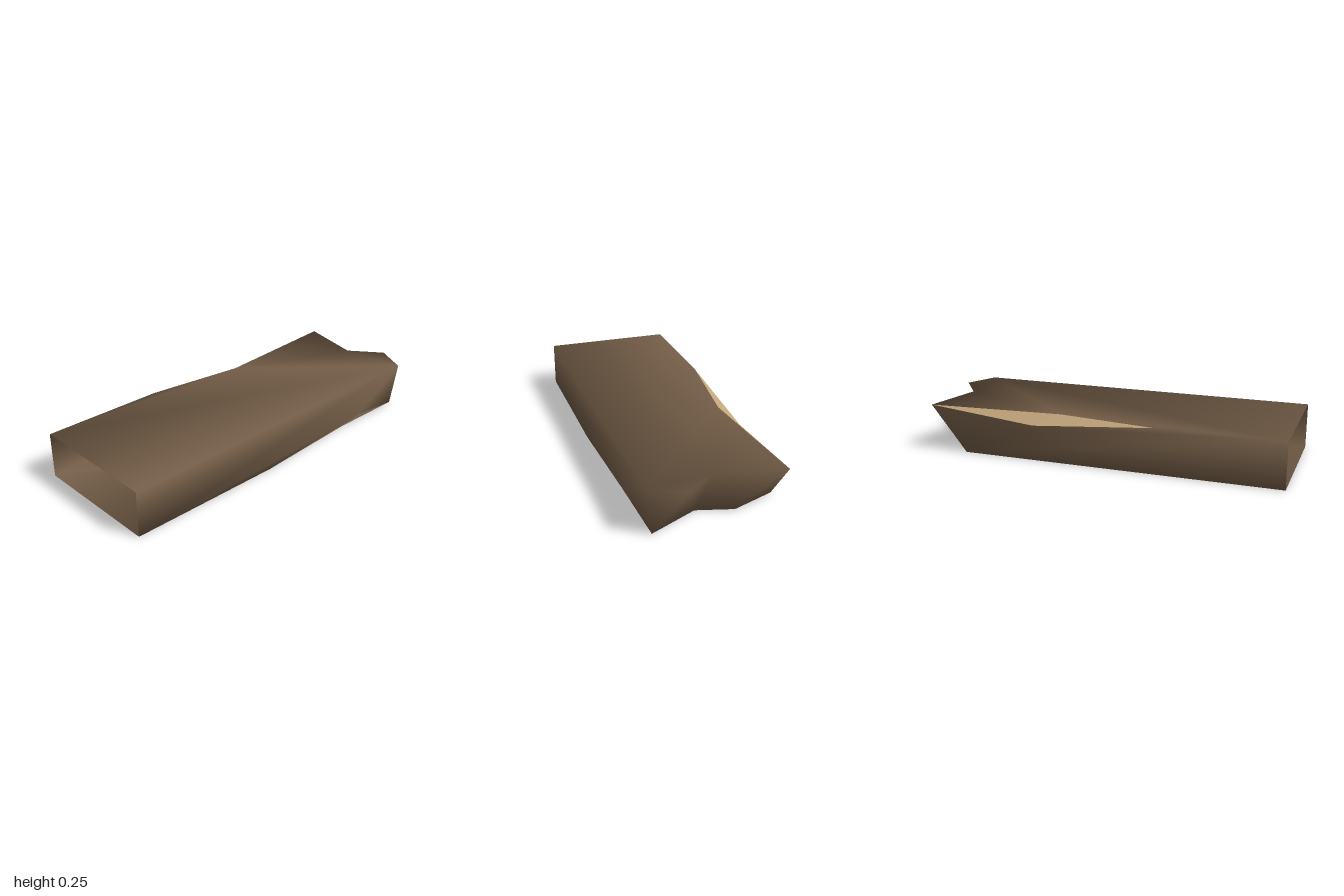
import * as THREE from 'three';

const H = 0.245, W = 0.357;

// Corner points of the broken beam
const P = {
  // square, open end
  topBack: [-1, H, -W], topFront: [-1, H, W], lowBack: [-1, 0, -W], lowFront: [-1, 0, W],
  // chip on the upper back edge
  chipA: [-0.34, H, -W], chipAIn: [0.2, H, -0.285], chipAOut: [0.33, 0.19, -W],
  // chip on the lower front edge
  chipB: [-0.15, 0, W], chipBIn: [0.47, 0, 0.315], chipBOut: [0.56, 0.06, W],
  // jagged broken end, upper and lower rows from back to front
  t0: [0.94, H, -0.343], t1: [0.865, H, 0], t2: [1, H, 0.17], t3: [0.915, H, 0.345],
  b0: [0.73, 0, -W], b1: [0.82, 0, -0.13], b2: [0.77, 0, 0.06], b3: [0.9, 0, 0.315],
};

// Builds polygons (point names, outward axis) into one geometry; smooth joins shared corners
function polygons(list, smooth) {
  const names = [], pos = [], nor = [], index = [];
  const vertex = (name) => {
    let i = smooth ? names.indexOf(name) : -1;
    if (i < 0) {
      i = names.push(name) - 1;
      pos.push(...P[name]);
      nor.push(new THREE.Vector3());
    }
    return i;
  };
  for (const [text, out] of list) {
    const keys = text.split(' ');
    const pts = keys.map((k) => new THREE.Vector3(...P[k]));
    // polygon normal, turned outward
    const n = new THREE.Vector3();
    pts.forEach((p, i) => n.add(p.clone().cross(pts[(i + 1) % pts.length])));
    n.normalize();
    if (n.dot(new THREE.Vector3(...out)) < 0) n.negate();
    const ids = keys.map(vertex);
    ids.forEach((i) => nor[i].add(n));
    // triangulate in the plane the polygon faces most
    const a = [Math.abs(n.x), Math.abs(n.y), Math.abs(n.z)];
    const m = a.indexOf(Math.max(...a));
    const [u, v] = [['y', 'z'], ['x', 'z'], ['x', 'y']][m];
    const flat = pts.map((p) => new THREE.Vector2(p[u], p[v]));
    const tris = pts.length === 3 ? [[0, 1, 2]] : THREE.ShapeUtils.triangulateShape(flat, []);
    for (const [i, j, k] of tris) {
      const c = pts[j].clone().sub(pts[i]).cross(pts[k].clone().sub(pts[i]));
      index.push(...(c.dot(n) > 0 ? [i, j, k] : [i, k, j]).map((q) => ids[q]));
    }
  }
  const g = new THREE.BufferGeometry();
  g.setAttribute('position', new THREE.Float32BufferAttribute(pos, 3));
  g.setAttribute('normal', new THREE.Float32BufferAttribute(nor.flatMap((n) => n.normalize().toArray()), 3));
  g.setIndex(index);
  return g;
}

export function createModel() {
  const group = new THREE.Group();
  group.name = 'brokenBeam';
  const darkWood = new THREE.MeshStandardMaterial({ color: 0x735d47, side: THREE.DoubleSide });
  darkWood.name = 'dark wood';
  const rawWood = new THREE.MeshStandardMaterial({ color: 0xc4a77d, side: THREE.DoubleSide });
  rawWood.name = 'raw wood';

  const add = (name, list, material, smooth) => {
    const mesh = new THREE.Mesh(polygons(list, smooth), material);
    mesh.name = name;
    group.add(mesh);
  };

  const up = [0, 1, 0], down = [0, -1, 0], front = [0, 0, 1], back = [0, 0, -1], end = [1, 0, 0];

  // Four long sides and the splintered end
  add('beam', [
    ['topBack chipA chipAIn t0 t1 t2 t3 topFront', up],
    ['lowBack b0 b1 b2 b3 chipBIn chipB lowFront', down],
    ['lowFront chipB chipBOut b3 t3 topFront', front],
    ['lowBack topBack chipA chipAOut t0 b0', back],
    ['t0 b0 b1', end], ['t0 b1 t1', end],
    ['t1 b1 b2', end], ['t1 b2 t2', end],
    ['t2 b2 b3', end], ['t2 b3 t3', end],
  ], darkWood, true);

  // Bare wood where the edges have chipped away
  add('upperChip', [
    ['chipA chipAIn chipAOut', [0, 1, -1]], ['chipAIn t0 chipAOut', [0, 1, -1]],
  ], rawWood, false);
  add('lowerChip', [
    ['chipB chipBIn chipBOut', [0, -1, 1]], ['chipBIn b3 chipBOut', [0, -1, 1]],
  ], rawWood, false);

  return group;
}
